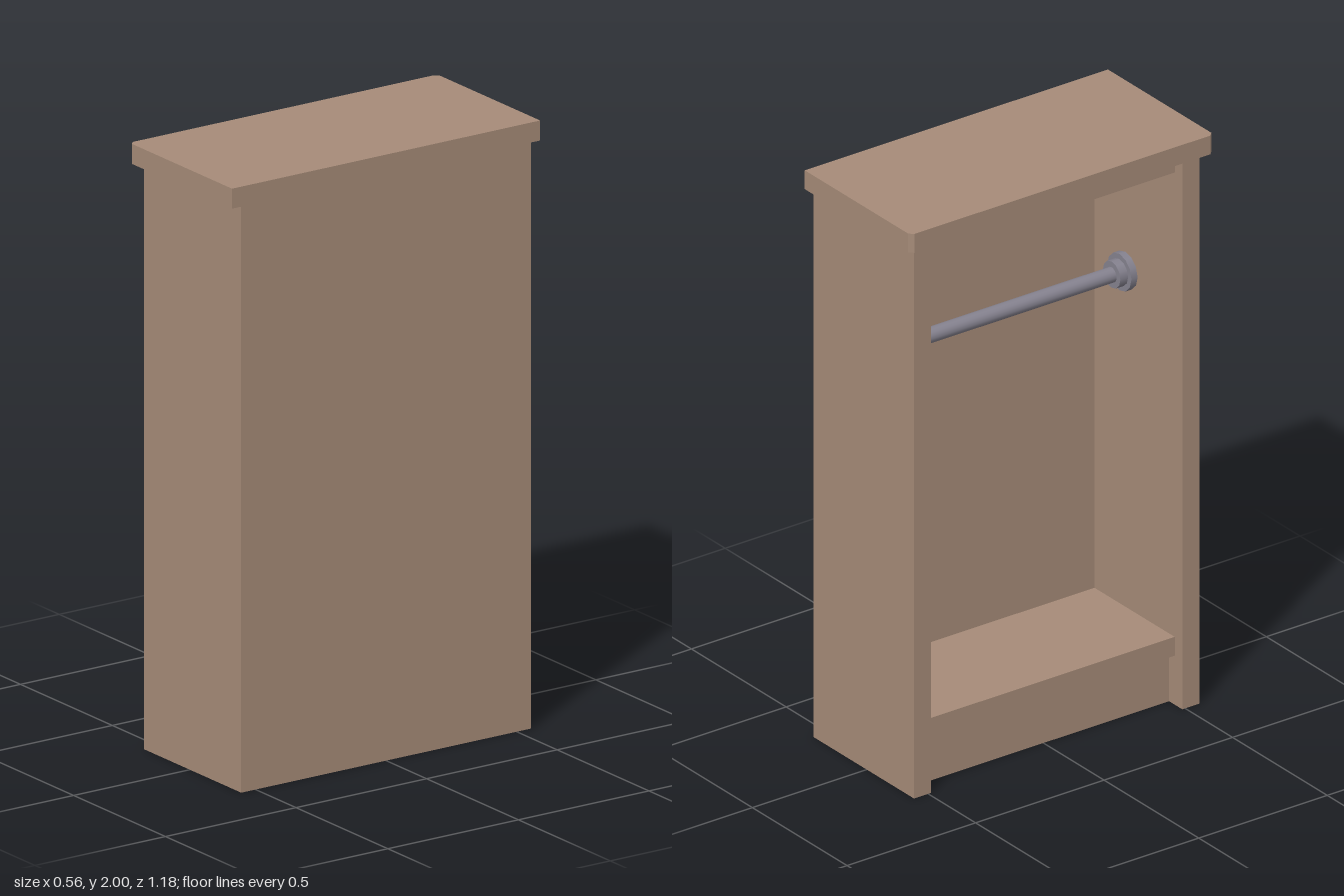
import * as THREE from 'three';

const wood = new THREE.MeshStandardMaterial({ color: 0xa68b78 });
wood.name = 'wood';
const metal = new THREE.MeshStandardMaterial({ color: 0x85828f });
metal.name = 'metal';

// Box given by its minimum and maximum corners
function panel(name, [x0, y0, z0], [x1, y1, z1]) {
  const mesh = new THREE.Mesh(new THREE.BoxGeometry(x1 - x0, y1 - y0, z1 - z0), wood);
  mesh.position.set((x0 + x1) / 2, (y0 + y1) / 2, (z0 + z1) / 2);
  mesh.name = name;
  return mesh;
}

// Cylinder lying along z
function rodPart(name, radius, length, z, sides) {
  const mesh = new THREE.Mesh(new THREE.CylinderGeometry(radius, radius, length, sides), metal);
  mesh.rotation.x = Math.PI / 2;
  mesh.position.set(0.05, 1.42, z);
  mesh.name = name;
  return mesh;
}

export function createModel() {
  const group = new THREE.Group();
  group.name = 'wardrobe';

  const t = 0.066;                 // board thickness
  const front = -0.25, back = 0.28; // the open face looks towards -x
  const half = 0.555, inner = half - t;
  const bodyTop = 1.934;

  // Carcass: two sides, back, floor shelf and ceiling board
  group.add(
    panel('leftSide', [front, 0, inner], [back, bodyTop, half]),
    panel('rightSide', [front, 0, -half], [back, bodyTop, -inner]),
    panel('backPanel', [back - t, 0, -inner], [back, bodyTop, inner]),
    panel('floorShelf', [front + 0.04, 0.172, -inner], [back - t, 0.238, inner]),
    panel('ceilingBoard', [front + 0.04, bodyTop - t, -inner], [back - t, bodyTop, inner]),
    panel('plinth', [front + 0.07, 0, -inner], [back - t, 0.172, inner]),
  );

  // Overhanging top with clipped corners on the open side
  const c = 0.014, w = 0.28, d = 0.59;
  const outline = new THREE.Shape([
    [-w + c, -d], [w, -d], [w, d], [-w + c, d], [-w, d - c], [-w, -d + c],
  ].map(([x, y]) => new THREE.Vector2(x, y)));
  const topGeometry = new THREE.ExtrudeGeometry(outline, { depth: 2 - bodyTop, bevelEnabled: false });
  topGeometry.rotateX(-Math.PI / 2);
  const top = new THREE.Mesh(topGeometry, wood);
  top.position.y = bodyTop;
  top.name = 'topBoard';
  group.add(top);

  // Hanging rail with a stepped flange at each end
  group.add(rodPart('hangingRail', 0.026, inner * 2, 0, 16));
  for (const s of [1, -1]) {
    group.add(
      rodPart('railFlange', 0.064, 0.024, s * (inner - 0.012), 12),
      rodPart('railCollar', 0.046, 0.03, s * (inner - 0.039), 12),
    );
  }
  return group;
}
